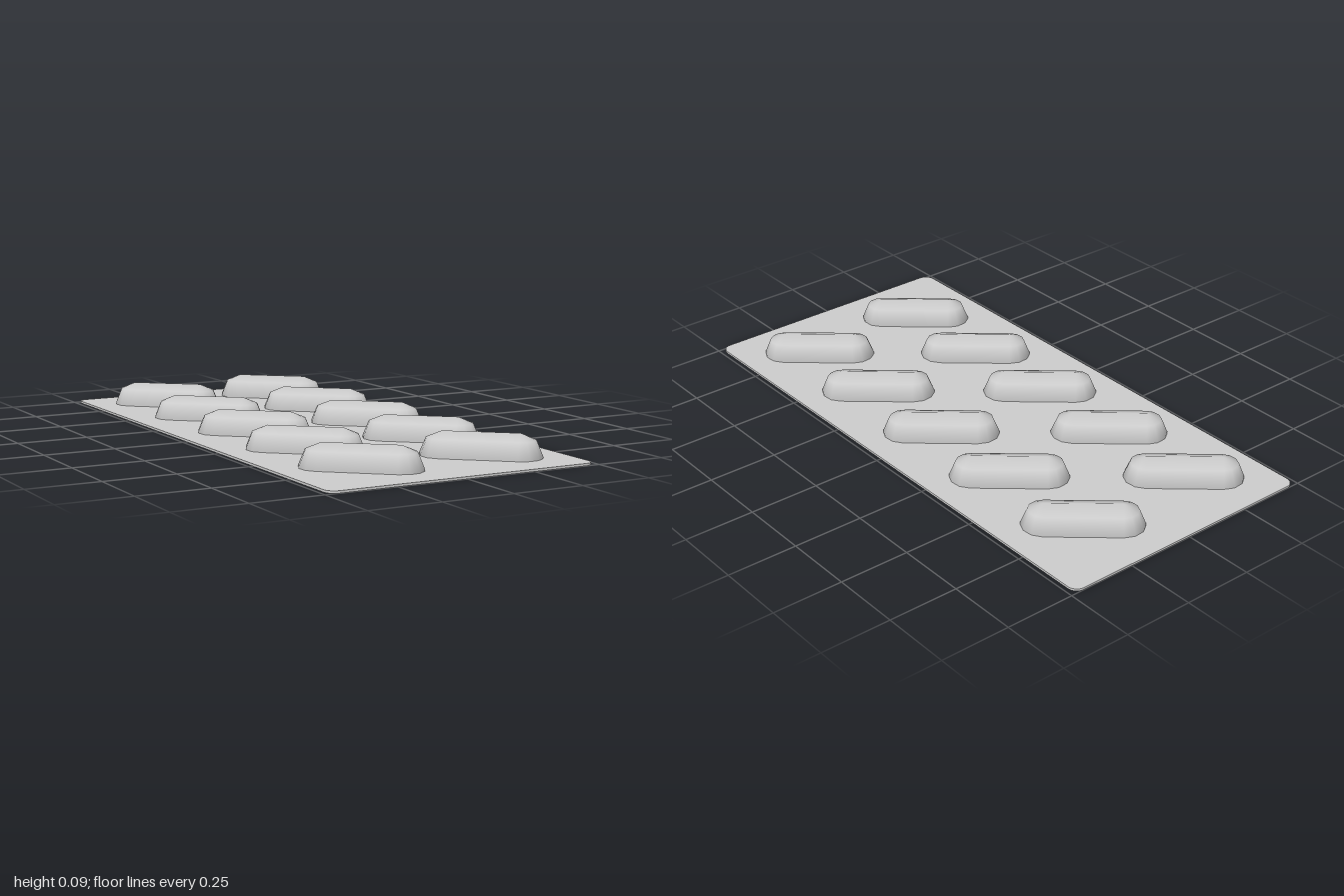
import * as THREE from 'three';

const CARD = { halfX: 0.485, halfZ: 1, corner: 0.035, thickness: 0.008 };
const POCKET = { radius: 0.074, halfLength: 0.128, axisY: 0.0145, angle: 0.705 };

// Flat card with rounded corners
function cardGeometry() {
  const { halfX: x, halfZ: z, corner: r, thickness } = CARD;
  const shape = new THREE.Shape();
  shape.absarc(x - r, z - r, r, 0, Math.PI / 2);
  shape.absarc(-x + r, z - r, r, Math.PI / 2, Math.PI);
  shape.absarc(-x + r, -z + r, r, Math.PI, Math.PI * 1.5);
  shape.absarc(x - r, -z + r, r, Math.PI * 1.5, Math.PI * 2);
  const geometry = new THREE.ExtrudeGeometry(shape, { depth: thickness, bevelEnabled: false, curveSegments: 5 });
  return geometry.rotateX(-Math.PI / 2);
}

// Half capsule lying along x: stadium rings that shrink to a ridge line
function pocketGeometry() {
  const { radius, halfLength, axisY } = POCKET;
  const steps = 6, count = 2 * (steps + 1);
  const rings = [[0, 0.004], [0, axisY], [Math.PI / 4], [Math.PI / 2]];
  const positions = [], normals = [], index = [];
  rings.forEach(([elevation, fixedY], ring) => {
    const c = Math.cos(elevation), s = Math.sin(elevation);
    for (let i = 0; i < count; i++) {
      const end = i <= steps ? 1 : -1;
      const k = i <= steps ? i : i - 1;
      const a = -Math.PI / 2 + (k / steps) * Math.PI;
      positions.push(end * halfLength + radius * c * Math.cos(a), fixedY ?? axisY + radius * s, radius * c * Math.sin(a));
      normals.push(c * Math.cos(a), s, c * Math.sin(a));
      if (ring === 0) continue;
      const j = (i + 1) % count, low = (ring - 1) * count, high = ring * count;
      index.push(low + i, high + i, high + j, low + i, high + j, low + j);
    }
  });
  const geometry = new THREE.BufferGeometry();
  geometry.setAttribute('position', new THREE.Float32BufferAttribute(positions, 3));
  geometry.setAttribute('normal', new THREE.Float32BufferAttribute(normals, 3));
  geometry.setIndex(index);
  return geometry;
}

export function createModel() {
  const model = new THREE.Group();
  model.name = 'blisterPack';
  const material = new THREE.MeshStandardMaterial({ color: 0xcccccc });

  const card = new THREE.Mesh(cardGeometry(), material);
  card.name = 'card';
  model.add(card);

  // Two columns of five slanted pockets
  const pockets = new THREE.Group();
  pockets.name = 'pockets';
  const geometry = pocketGeometry();
  for (const x of [-0.224, 0.224]) {
    for (let row = -2; row <= 2; row++) {
      const pocket = new THREE.Mesh(geometry, material);
      pocket.name = 'pocket';
      pocket.position.set(x, 0, row * 0.369 - 0.003);
      pocket.rotation.y = -POCKET.angle;
      pockets.add(pocket);
    }
  }
  model.add(pockets);
  return model;
}
